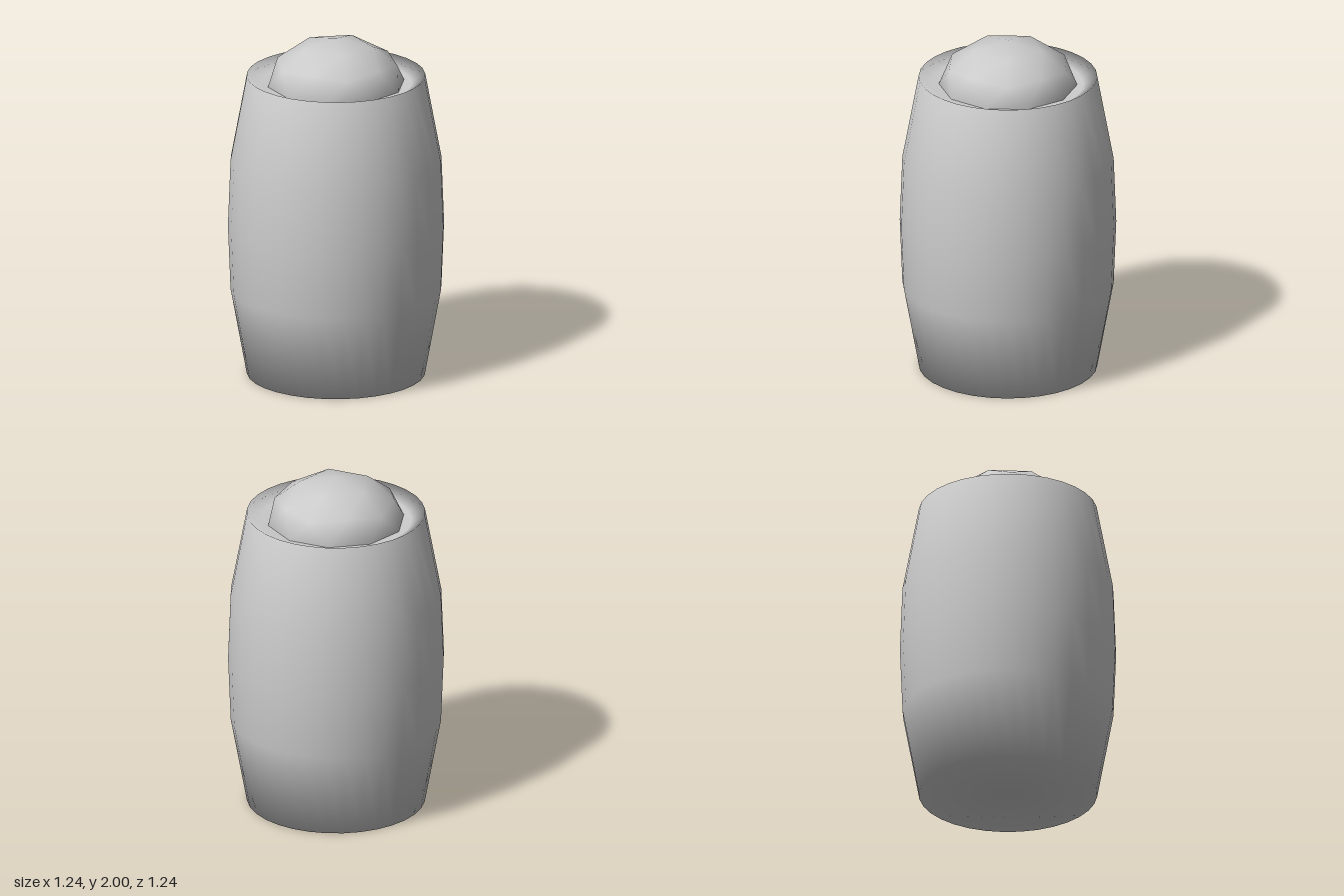
import * as THREE from 'three';

const material = new THREE.MeshStandardMaterial({ color: 0xcccccc });

function addPart(group, name, geometry) {
  const mesh = new THREE.Mesh(geometry, material);
  mesh.name = name;
  group.add(mesh);
  return mesh;
}

export function createModel() {
  const model = new THREE.Group();
  model.name = 'barrelWithDome';

  // Bulging barrel: closed flat base, smooth rim and slightly sunken lid
  const profile = [
    [0, 0], [0.51, 0], [0.603, 0.51], [0.618, 0.89],
    [0.603, 1.28], [0.51, 1.78], [0.43, 1.73], [0, 1.73],
  ].map(([r, y]) => new THREE.Vector2(r, y));
  addPart(model, 'barrel', new THREE.LatheGeometry(profile, 32));

  // Flattened low-poly dome, one corner pointing straight up
  const golden = (1 + Math.sqrt(5)) / 2;
  const domeGeometry = new THREE.IcosahedronGeometry(1, 1);
  domeGeometry.rotateZ(-Math.atan(1 / golden));
  domeGeometry.scale(0.395, 0.27, 0.395);
  addPart(model, 'dome', domeGeometry).position.y = 1.73;

  return model;
}
